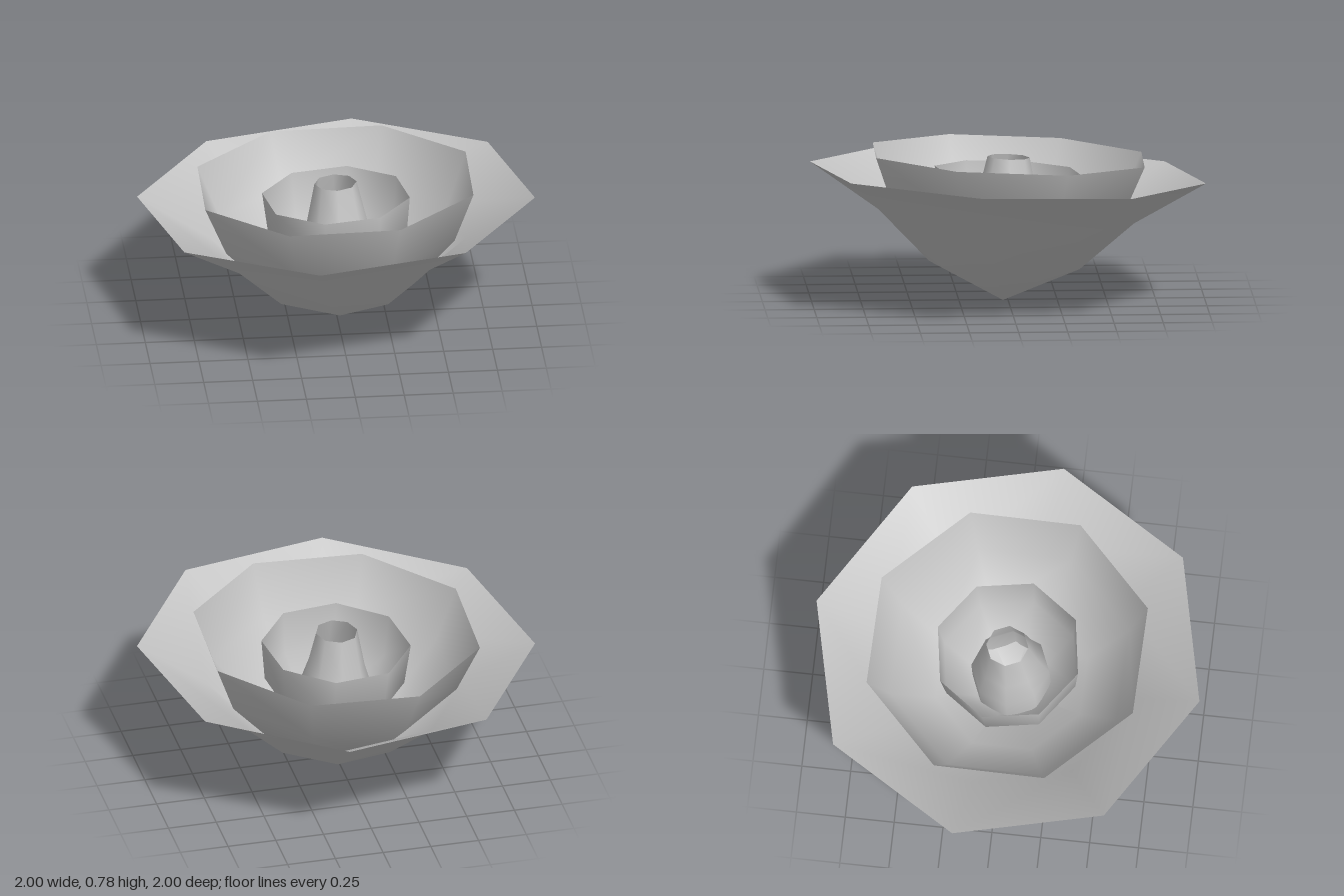
import * as THREE from 'three';

const SIDES = 8;

// Eight-sided smooth shell turned from a [radius, height] profile, bottom to top.
function shell(name, profile, turnDegrees, material) {
  const points = profile.map(([r, y]) => new THREE.Vector2(r, y));
  const turn = THREE.MathUtils.degToRad(turnDegrees);
  const mesh = new THREE.Mesh(new THREE.LatheGeometry(points, SIDES, turn), material);
  mesh.name = name;
  return mesh;
}

export function createModel() {
  const petalGrey = new THREE.MeshStandardMaterial({ color: 0xc4c4c4, side: THREE.DoubleSide });
  petalGrey.name = 'petalGrey';

  const flower = new THREE.Group();
  flower.name = 'flower';

  // Wide outer petals
  flower.add(shell('outerPetals', [[0, 0], [0.386, 0.18], [0.655, 0.43], [1.015, 0.655]], 35, petalGrey));
  // Deeper middle petals
  flower.add(shell('middlePetals', [[0, 0.06], [0.4, 0.23], [0.63, 0.48], [0.74, 0.745]], 21, petalGrey));
  // Upright inner cup
  flower.add(shell('innerCup', [[0, 0.1], [0.2, 0.2], [0.355, 0.44], [0.38, 0.665]], 31, petalGrey));
  // Open flared tube in the centre
  flower.add(shell('centreTube', [[0.2, 0.2], [0.2, 0.38], [0.155, 0.52], [0.108, 0.735]], 0, petalGrey));

  // The whole bloom leans slightly back and to one side
  flower.rotation.set(-0.041, 0, 0.027);
  flower.position.set(0.016, 0, 0.026);

  const model = new THREE.Group();
  model.name = 'bloom';
  model.add(flower);
  return model;
}
